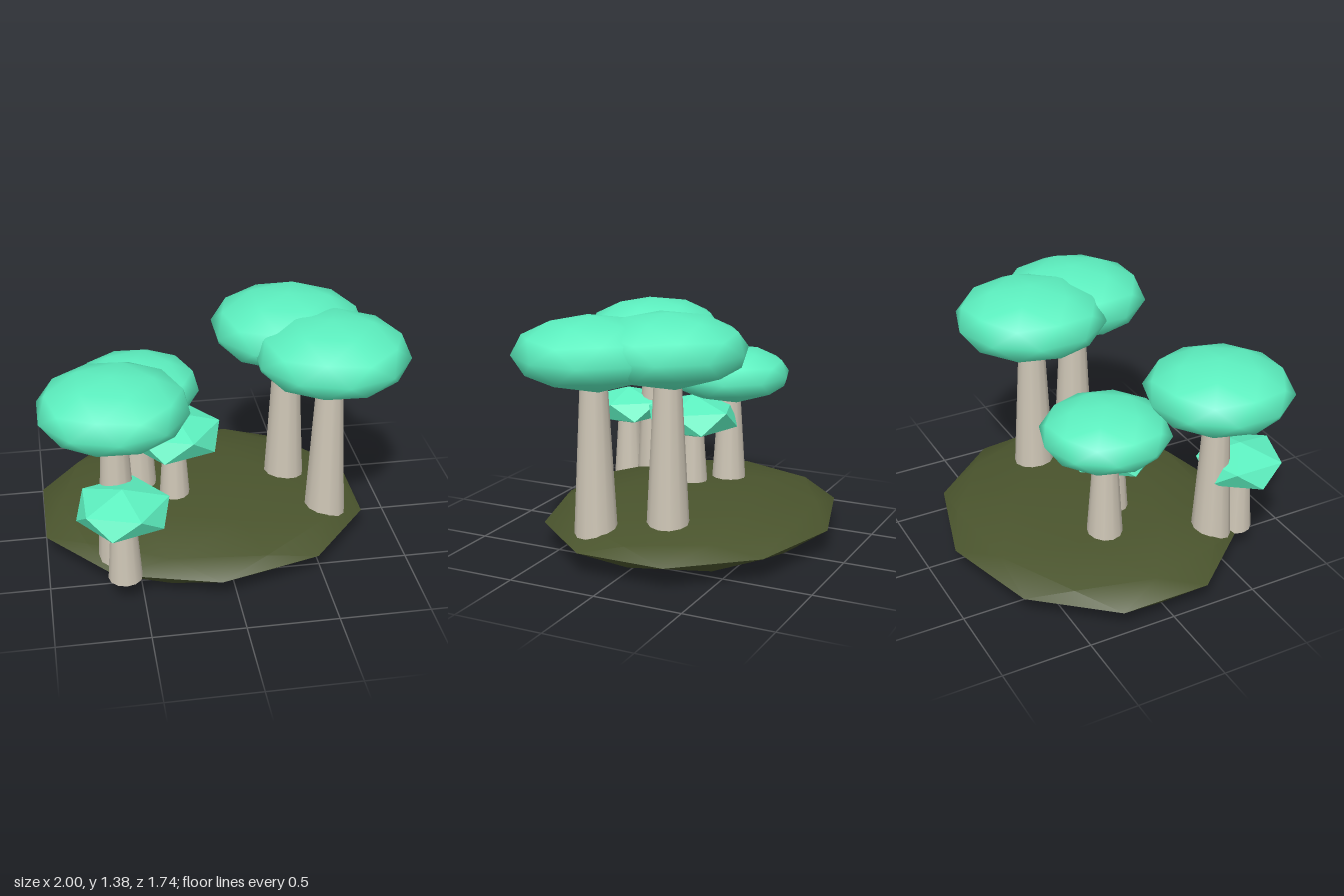
import * as THREE from 'three';
import { toCreasedNormals } from 'three/addons/utils/BufferGeometryUtils.js';

const leaf = new THREE.MeshStandardMaterial({ color: 0x5cefbf });
const facetedLeaf = new THREE.MeshStandardMaterial({ color: 0x5cefbf, flatShading: true });
const bark = new THREE.MeshStandardMaterial({ color: 0xcdc5b5 });
const earth = new THREE.MeshStandardMaterial({ color: 0x4a542d });

// Flattened icosphere with a vertex at each pole and an upper-ring vertex on +x
function blob(detail, rx, ry, rz) {
  const g = new THREE.IcosahedronGeometry(1, detail);
  g.rotateX(-Math.atan((1 + Math.sqrt(5)) / 2));
  g.rotateY(Math.PI / 2);
  return g.scale(rx, ry, rz);
}

const BASE = 0.14; // height at which every trunk starts

function tree({ x, z, y, r, ry, bottom, top, small }) {
  const group = new THREE.Group();
  group.name = small ? 'smallTree' : 'tree';
  group.position.set(x, 0, z);

  const crown = new THREE.Mesh(blob(small ? 0 : 1, r, ry, r), small ? facetedLeaf : leaf);
  crown.name = 'crown';
  crown.position.y = y;

  // Tapered trunk reaching up into the crown
  const height = y - BASE;
  const trunk = new THREE.Mesh(new THREE.CylinderGeometry(top, bottom, height, 12), bark);
  trunk.name = 'trunk';
  trunk.position.y = BASE + height / 2;

  group.add(crown, trunk);
  return group;
}

export function createModel() {
  const model = new THREE.Group();
  model.name = 'mushroomGrove';

  // Lens-shaped ground with a sharp rim
  const ground = new THREE.Mesh(toCreasedNormals(blob(1, 0.953, 0.135, 0.82), 0.6), earth);
  ground.name = 'ground';
  ground.position.set(-0.093, 0.138, -0.05);
  model.add(ground);

  const trees = [
    { x: -0.615, z: 0.46, y: 1.08, r: 0.405, ry: 0.18, bottom: 0.113, top: 0.061 },
    { x: -0.44, z: -0.12, y: 0.888, r: 0.357, ry: 0.157, bottom: 0.107, top: 0.056 },
    { x: 0.42, z: -0.14, y: 1.192, r: 0.434, ry: 0.193, bottom: 0.121, top: 0.065 },
    { x: 0.59, z: 0.21, y: 1.176, r: 0.43, ry: 0.19, bottom: 0.12, top: 0.065 },
    { x: -0.597, z: 0.635, y: 0.575, r: 0.274, ry: 0.116, bottom: 0.092, top: 0.062, small: true },
    { x: -0.252, z: 0.03, y: 0.655, r: 0.291, ry: 0.127, bottom: 0.095, top: 0.058, small: true },
  ];
  for (const t of trees) model.add(tree(t));
  return model;
}
